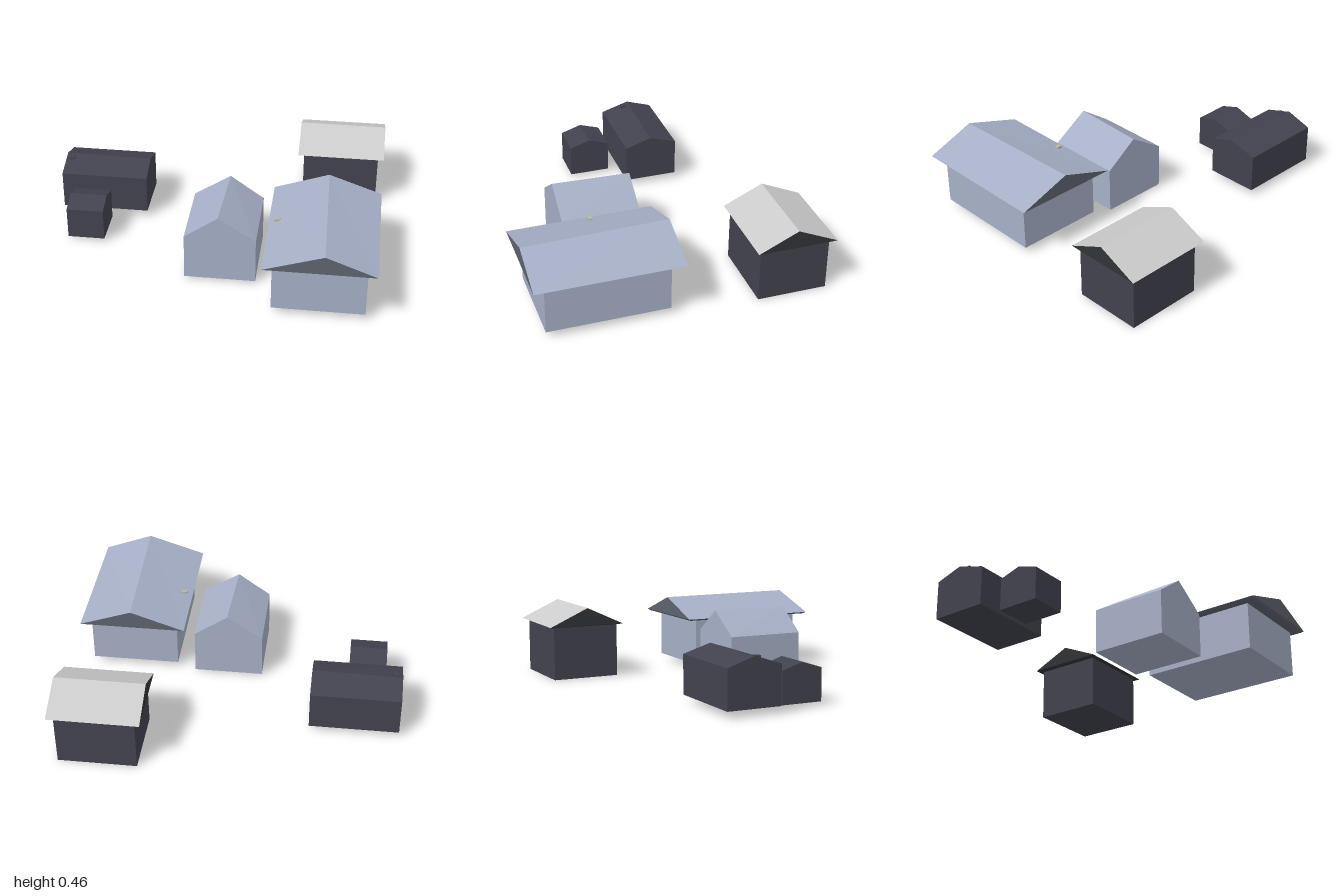
import * as THREE from 'three';

const material = (color) => new THREE.MeshStandardMaterial({ color, flatShading: true });
const BLUE = material(0xa6afc6);
const DARK = material(0x41424e);
const GREY = material(0xcccccc);
const BLUE_TRIM = material(0x5e646e);
const DARK_TRIM = material(0x303437);
const BEIGE = material(0xb8b4a4);

// Mesh from flat polygons, corners counter-clockwise seen from outside
function polyMesh(name, polygons, mat) {
  const positions = [];
  for (const p of polygons) {
    for (let i = 1; i < p.length - 1; i++) positions.push(...p[0], ...p[i], ...p[i + 1]);
  }
  const geometry = new THREE.BufferGeometry();
  geometry.setAttribute('position', new THREE.Float32BufferAttribute(positions, 3));
  geometry.computeVertexNormals();
  const mesh = new THREE.Mesh(geometry, mat);
  mesh.name = name;
  return mesh;
}

// Pitched body with its ridge along local z: slopes in one mesh, all other sides in another
function pitched({ name, w, l, bottom, eave, ridge, back = 0, front = 0, inset = 0, slopeMat, bodyMat, slopeName, bodyName }) {
  const x = w / 2, z = l / 2, bx = x - inset, bz = z - inset;
  const base = [[-bx, bottom, -bz], [bx, bottom, -bz], [bx, bottom, bz], [-bx, bottom, bz]];
  const top = [[-x, eave, -z], [x, eave, -z], [x, eave, z], [-x, eave, z]];
  const rb = [back, ridge, -z], rf = [front, ridge, z];
  const body = [base, [top[3], top[2], rf], [top[1], top[0], rb]];
  for (let i = 0; i < 4; i++) {
    const j = (i + 1) % 4;
    body.push([base[j], base[i], top[i], top[j]]);
  }
  const slopes = [[top[2], top[1], rb, rf], [top[0], top[3], rf, rb]];
  const group = new THREE.Group();
  group.name = name;
  group.add(polyMesh(slopeName, slopes, slopeMat), polyMesh(bodyName, body, bodyMat));
  return group;
}

function box(name, mat, x0, x1, y0, y1, z0, z1) {
  const mesh = new THREE.Mesh(new THREE.BoxGeometry(x1 - x0, y1 - y0, z1 - z0), mat);
  mesh.name = name;
  mesh.position.set((x0 + x1) / 2, (y0 + y1) / 2, (z0 + z1) / 2);
  return mesh;
}

function place(group, x, z, turned = false) {
  group.position.set(x, 0, z);
  if (turned) group.rotation.y = Math.PI / 2;
  return group;
}

// Plain house without roof overhang
const house = (name, mat, dims) =>
  pitched({ name, slopeMat: mat, bodyMat: mat, slopeName: 'roofSlopes', bodyName: 'walls', ...dims });

// Overhanging roof with a slim chamfered rim
const roof = (name, slopeMat, bodyMat, dims) =>
  pitched({ name, slopeMat, bodyMat, slopeName: 'roofSlopes', bodyName: 'gablesAndSoffit', inset: 0.015, ...dims });

export function createModel() {
  const model = new THREE.Group();
  model.name = 'farmBuildings';

  // Large house with a wide overhanging roof and a small roof vent
  const large = new THREE.Group();
  large.name = 'largeHouse';
  large.add(
    box('walls', BLUE, 0.4, 0.935, 0.04, 0.337, 0.085, 0.81),
    place(roof('roof', BLUE, BLUE_TRIM, { w: 0.645, l: 0.87, bottom: 0.335, eave: 0.345, ridge: 0.457, back: 0.005, front: 0.028 }), 0.668, 0.445),
    box('roofVent', BEIGE, 0.38, 0.414, 0.345, 0.373, 0.384, 0.41),
  );

  // Rear barn, ridge running sideways
  const barn = new THREE.Group();
  barn.name = 'rearBarn';
  barn.add(
    box('walls', DARK, 0.495, 0.962, 0, 0.332, -0.85, -0.432),
    place(roof('roof', GREY, DARK_TRIM, { w: 0.48, l: 0.538, bottom: 0.33, eave: 0.335, ridge: 0.445, back: -0.005, front: -0.005 }), 0.729, -0.645, true),
  );

  // Middle house
  const middle = place(house('middleHouse', BLUE, { w: 0.42, l: 0.475, bottom: 0.013, eave: 0.292, ridge: 0.433, back: 0.008, front: -0.012 }), 0.075, 0.297);

  // Long low shed with a chimney
  const longShed = new THREE.Group();
  longShed.name = 'longShed';
  longShed.add(
    place(house('shedBody', DARK, { w: 0.333, l: 0.535, bottom: 0.04, eave: 0.275, ridge: 0.327, back: 0.006, front: -0.006 }), -0.7325, -0.262, true),
    box('chimney', DARK, -0.978, -0.944, 0.29, 0.326, -0.25, -0.213),
  );

  // Small shed
  const smallShed = place(house('smallShed', DARK, { w: 0.253, l: 0.225, bottom: 0.02, eave: 0.215, ridge: 0.255 }), -0.792, 0.093, true);

  model.add(large, barn, middle, longShed, smallShed);
  return model;
}
